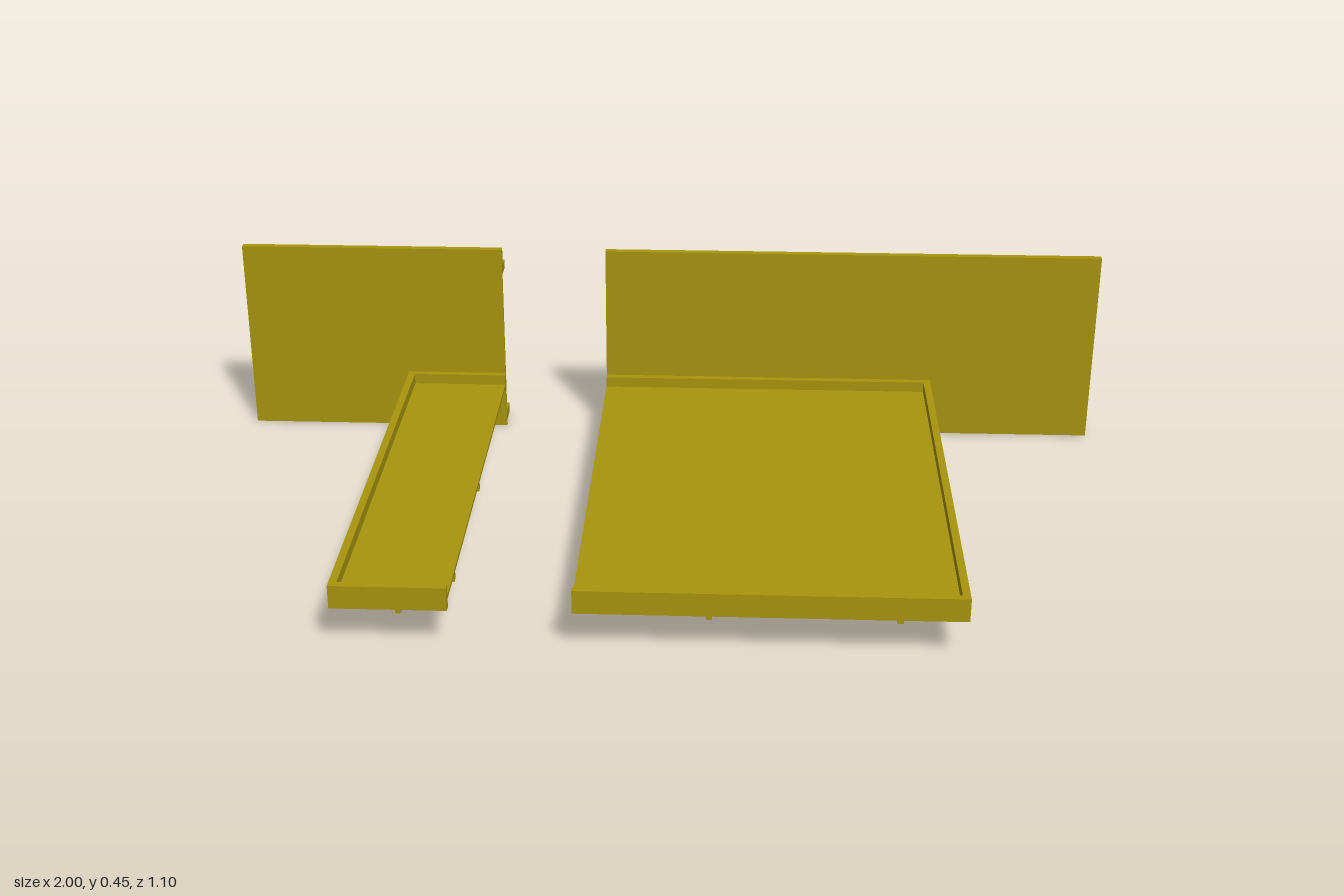
import * as THREE from 'three';

export function createModel() {
  const model = new THREE.Group();
  model.name = 'splitBed';
  const olive = new THREE.MeshStandardMaterial({ color: 0xa8950d });
  olive.name = 'olive';

  // Box given by its limits on each axis
  function box(parent, name, [x0, x1], [y0, y1], [z0, z1]) {
    const mesh = new THREE.Mesh(new THREE.BoxGeometry(x1 - x0, y1 - y0, z1 - z0), olive);
    mesh.position.set((x0 + x1) / 2, (y0 + y1) / 2, (z0 + z1) / 2);
    mesh.name = name;
    parent.add(mesh);
  }

  // Headboard section: thin panel with a stud frame behind it
  function headboard(name, x0, x1) {
    const g = new THREE.Group();
    g.name = name;
    const span = [x0, x1];
    box(g, 'panel', span, [0, 0.45], [-0.504, -0.496]);
    box(g, 'topStrip', span, [0.408, 0.45], [-0.513, -0.504]);
    box(g, 'upperRail', span, [0.387, 0.403], [-0.55, -0.504]);
    box(g, 'railCap', span, [0.403, 0.408], [-0.546, -0.504]);
    box(g, 'lowerRail', span, [0.013, 0.036], [-0.55, -0.504]);
    for (let i = 0; i < 12; i++) {
      const x = -0.94 + (i * 1.88) / 11;
      if (x > x0 && x < x1) box(g, 'stud', [x - 0.012, x + 0.012], [0.036, 0.387], [-0.546, -0.504]);
    }
    model.add(g);
  }

  // Bed section: tray open on the cut side, with bearers and legs below
  const rows = [0.43, 0.03, -0.37];
  function bed(name, x0, x1, outerSide, legXs) {
    const g = new THREE.Group();
    g.name = name;
    const t = 0.016, height = [0.088, 0.138], length = [-0.496, 0.55];
    const inner = outerSide > 0 ? [x0, x1 - t] : [x0 + t, x1];
    const side = outerSide > 0 ? [x1 - t, x1] : [x0, x0 + t];
    box(g, 'sideRail', side, height, length);
    box(g, 'footRail', inner, height, [0.55 - t, 0.55]);
    box(g, 'headRail', inner, height, [-0.496, -0.496 + t]);
    box(g, 'deck', inner, [0.106, 0.114], [-0.48, 0.534]);
    const bx = outerSide * 0.505;
    box(g, 'longBearer', [bx - 0.007, bx + 0.007], [0.09, 0.106], [-0.48, 0.534]);
    for (const z of rows) {
      box(g, 'crossBearer', inner, [0.089, 0.106], [z - 0.007, z + 0.007]);
      for (const x of legXs) box(g, 'leg', [x - 0.006, x + 0.006], [0.013, 0.089], [z - 0.005, z + 0.005]);
    }
    model.add(g);
  }

  headboard('leftHeadboard', -0.147, 1);
  headboard('rightHeadboard', -1, -0.39);
  bed('leftBed', -0.147, 0.622, 1, [0.118, 0.5]);
  bed('rightBed', -0.622, -0.39, -1, [-0.508]);
  return model;
}
